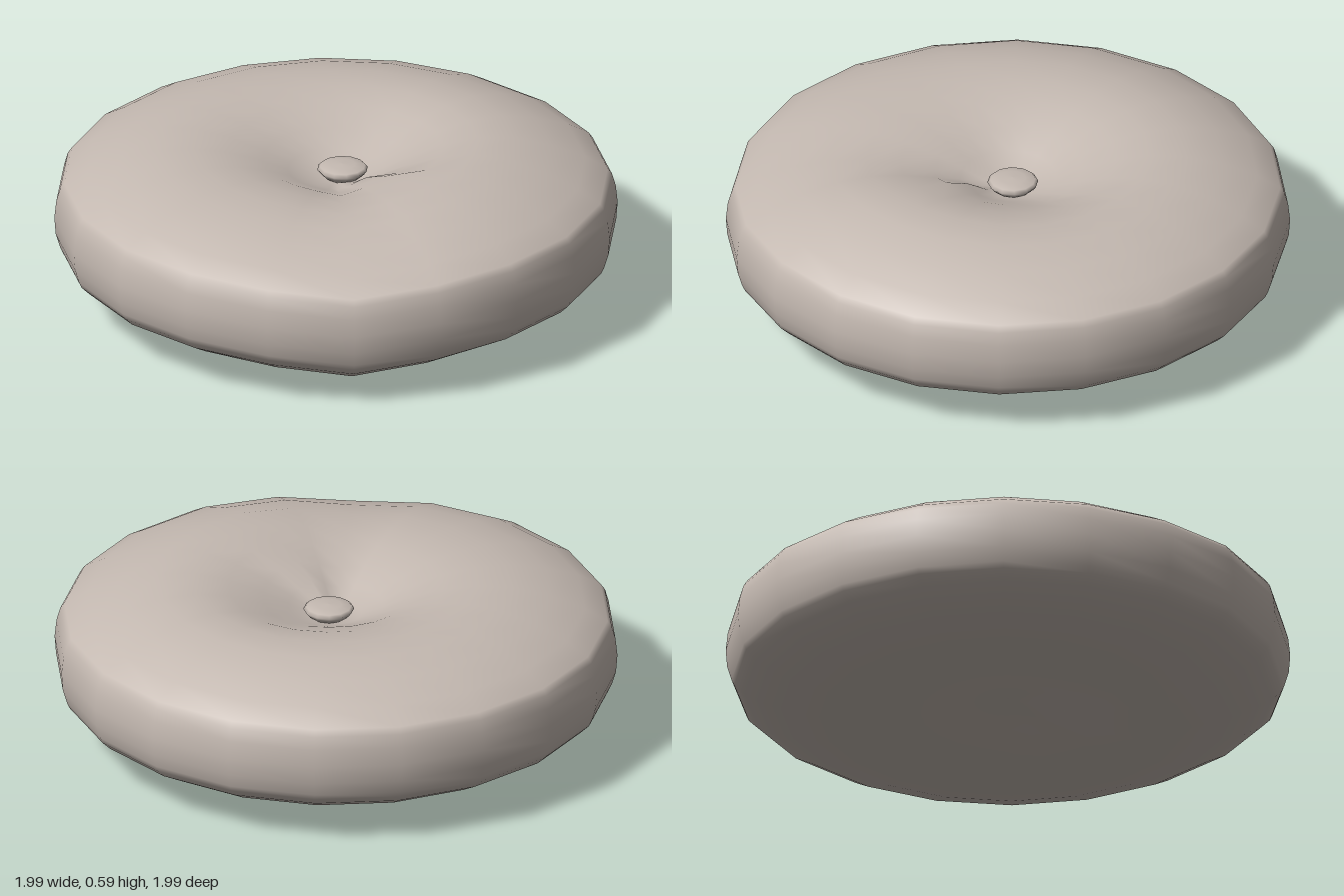
import * as THREE from 'three';
import { mergeVertices } from 'three/addons/utils/BufferGeometryUtils.js';

const bump = (d, width) => Math.exp(-(d * d) / (width * width));

// Angle between two headings, measured from +z towards +x, in degrees
function turn(a, b) {
  return ((a - b + 540) % 360) - 180;
}

// Stuffed round cushion: a 20-sided lathe, softly dented by a rule
function cushionGeometry() {
  const profile = [
    [0, 0.13], [0.1, 0.12], [0.2, 0.1], [0.34, 0.068], [0.49, 0.05], [0.62, 0.054],
    [0.74, 0.075], [0.86, 0.115], [0.935, 0.158], [0.965, 0.188], [0.975, 0.21],
    [0.99, 0.26], [0.995, 0.325], [0.988, 0.39], [0.975, 0.435], [0.96, 0.458],
    [0.88, 0.505], [0.76, 0.55], [0.63, 0.578], [0.5, 0.58], [0.38, 0.562],
    [0.26, 0.525], [0.17, 0.485], [0.09, 0.452], [0, 0.445],
  ].map(([r, y]) => new THREE.Vector2(r, y));
  let geo = new THREE.LatheGeometry(profile, 20);
  const p = geo.attributes.position;
  for (let i = 0; i < p.count; i++) {
    const x = p.getX(i), z = p.getZ(i), r = Math.hypot(x, z);
    const a = THREE.MathUtils.radToDeg(Math.atan2(x, z));
    let y = p.getY(i);
    const top = y > 0.44 || r < 0.9 && y > 0.3;
    const inner = Math.min(1, r / 0.4);
    // sagging front left corner
    y -= 0.036 * inner * bump(turn(a, 54), 17);
    if (top) {
      // uneven stuffing and a fold beside the button
      y += 0.018 * bump(r - 0.5, 0.2) * bump(turn(a, 115), 35);
      y -= 0.022 * bump(r - 0.6, 0.25) * bump(turn(a, 15), 40);
      y += 0.03 * bump(r - 0.2, 0.1) * bump(turn(a, 90), 14);
      y -= 0.02 * bump(r - 0.28, 0.12) * bump(turn(a, 190), 30);
    } else if (y < 0.15) {
      y -= 0.02 * bump(r - 0.48, 0.2) * bump(turn(a, 40), 35);
      y += 0.02 * bump(r - 0.25, 0.12) * bump(turn(a, 110), 16);
    }
    p.setY(i, Math.max(0.003, y));
  }
  geo.deleteAttribute('normal');
  geo.deleteAttribute('uv');
  geo = mergeVertices(geo, 1e-4);
  geo.computeVertexNormals();
  return geo;
}

export function createModel() {
  const group = new THREE.Group();
  const fabric = new THREE.MeshStandardMaterial({ color: 0xc4b9b1 });
  fabric.name = 'greige fabric';

  const cushion = new THREE.Mesh(cushionGeometry(), fabric);
  cushion.name = 'cushion';
  group.add(cushion);

  // Tufting button in the centre dimple
  const button = new THREE.Mesh(new THREE.LatheGeometry([
    [0, 0.44], [0.06, 0.445], [0.08, 0.465], [0.09, 0.478], [0.08, 0.488], [0.045, 0.494], [0, 0.496],
  ].map(([r, y]) => new THREE.Vector2(r, y)), 12), fabric);
  button.name = 'button';
  button.position.set(0, 0, -0.03);
  group.add(button);
  return group;
}
